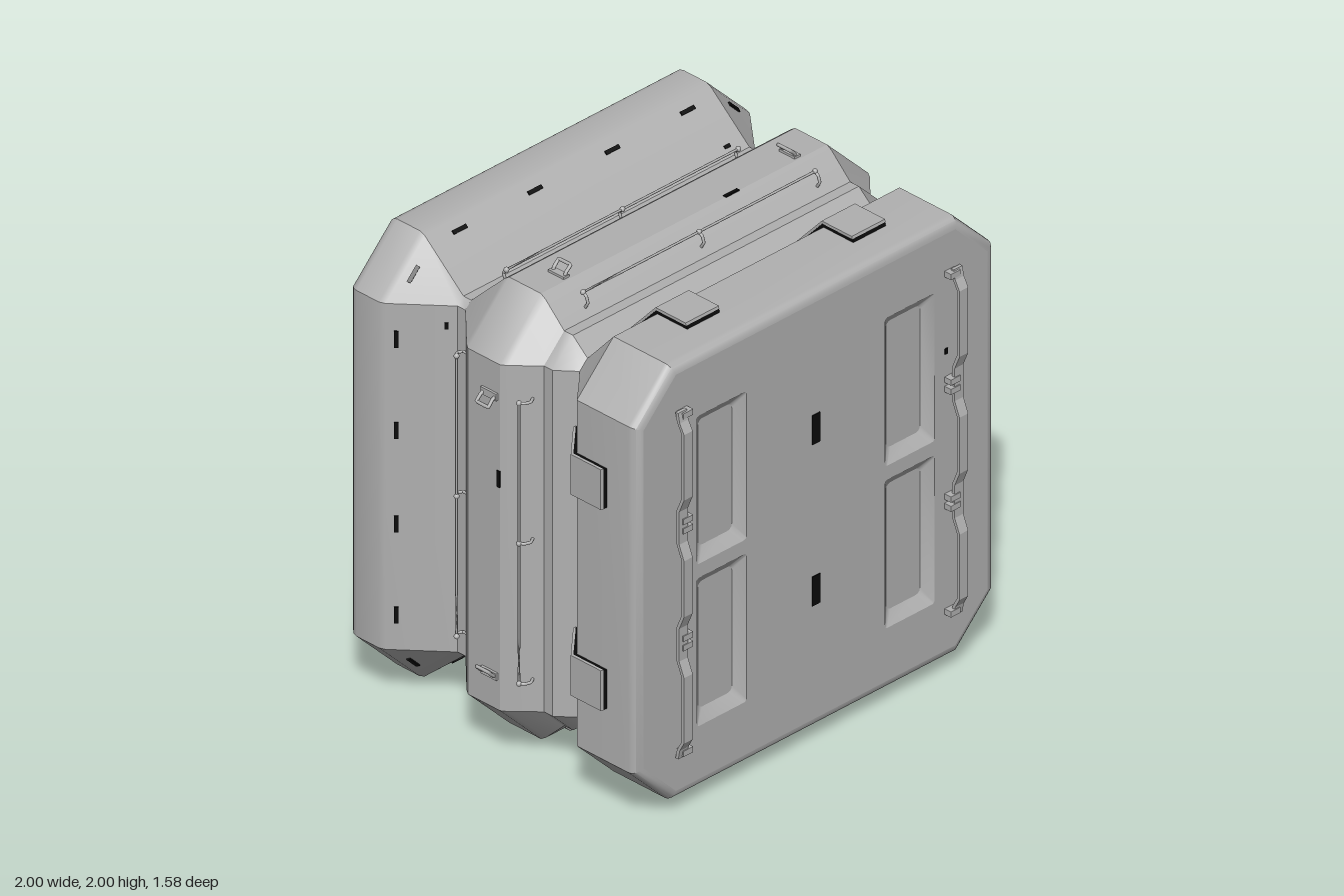
import * as THREE from 'three';
import { toCreasedNormals } from 'three/addons/utils/BufferGeometryUtils.js';

const shell = new THREE.MeshStandardMaterial({ color: 0xb0b0b0 });
shell.name = 'shellGrey';
const dark = new THREE.MeshStandardMaterial({ color: 0x0a0a0a });
dark.name = 'markBlack';

function add(parent, name, geometry, material = shell, x = 0, y = 0, z = 0) {
  const mesh = new THREE.Mesh(geometry, material);
  mesh.name = name;
  mesh.position.set(x, y, z);
  parent.add(mesh);
  return mesh;
}

function group(parent, name) {
  const g = new THREE.Group();
  g.name = name;
  parent.add(g);
  return g;
}

// Skin between rings of equal length; rings run counter-clockwise seen from +z
function loft(rings) {
  const n = rings[0].length, index = [];
  for (let i = 0; i < rings.length - 1; i++) {
    for (let j = 0; j < n; j++) {
      const a = i * n + j, b = i * n + (j + 1) % n;
      index.push(a, b, b + n, a, b + n, a + n);
    }
  }
  const g = new THREE.BufferGeometry();
  g.setAttribute('position', new THREE.Float32BufferAttribute(rings.flat(2), 3));
  g.setIndex(index);
  return toCreasedNormals(g, 0.55);
}

// Octagon of half size h whose straight edges have half length s
const octagon = (h, s) =>
  [[h, -s], [h, s], [s, h], [-s, h], [-h, s], [-h, -s], [-s, -h], [s, -h]];

function roundedRect(cx, cy, hw, hh, r) {
  const pts = [];
  [[1, 1], [-1, 1], [-1, -1], [1, -1]].forEach(([sx, sy], k) => {
    for (let i = 0; i <= 3; i++) {
      const a = (k + i / 3) * Math.PI / 2;
      pts.push([cx + sx * (hw - r) + r * Math.cos(a), cy + sy * (hh - r) + r * Math.sin(a)]);
    }
  });
  return pts;
}

const toShape = (pts) => new THREE.Shape(pts.map(([x, y]) => new THREE.Vector2(x, y)));

// Bent strip: path in (z, y), thickened by an offset, given a width along x
function strip(path, [dz, dy], width) {
  const back = path.map(([z, y]) => [z + dz, y + dy]).reverse();
  const g = new THREE.ExtrudeGeometry(toShape([...path, ...back]), { depth: width, bevelEnabled: false });
  return g.rotateY(-Math.PI / 2).translate(width / 2, 0, 0);
}

function rod(points, radius) {
  const curve = new THREE.CatmullRomCurve3(points.map((p) => new THREE.Vector3(...p)), false, 'catmullrom', 0.1);
  return new THREE.TubeGeometry(curve, (points.length - 1) * 6, radius, 8);
}

// Flat end face with four pockets, two rails and dark marks
function buildFace(parent, name) {
  const face = group(parent, name);
  const plate = toShape(octagon(0.89, 0.723));
  for (const sx of [-1, 1]) {
    for (const sy of [-1, 1]) {
      const outer = roundedRect(sx * 0.487, sy * 0.347, 0.128, 0.317, 0.012);
      const inner = roundedRect(sx * 0.487, sy * 0.347, 0.088, 0.27, 0.022);
      plate.holes.push(new THREE.Path(outer.map(([x, y]) => new THREE.Vector2(x, y))));
      add(face, 'pocketWall', loft([outer.map((p) => [...p, 0]), inner.map((p) => [...p, -0.035])]));
      add(face, 'pocketFloor', new THREE.ShapeGeometry(toShape(inner)), shell, 0, 0, -0.035);
    }
    // Wavy rail and its clips
    const half = [[0.01, 0.74], [0.018, 0.70], [0.04, 0.66], [0.04, 0.38], [0.015, 0.32], [0.015, 0.18], [0.04, 0.12]];
    const path = [...half, ...half.map(([z, y]) => [z, -y]).reverse()];
    add(face, 'wavyRail', strip(path, [0.014, 0], 0.045), shell, sx * 0.713);
    for (const y of [0.722, 0.27, 0.23, -0.23, -0.27, -0.722]) {
      add(face, 'railClip', new THREE.BoxGeometry(0.05, 0.024, 0.034), shell, sx * 0.692, y, 0.016);
    }
  }
  add(face, 'facePlate', new THREE.ShapeGeometry(plate));
  for (const y of [-0.34, 0.35]) {
    add(face, 'faceMark', new THREE.BoxGeometry(0.04, 0.125, 0.006), dark, 0, y, 0.001);
  }
  add(face, 'smallMark', new THREE.BoxGeometry(0.014, 0.024, 0.006), dark, -0.68, -0.4, 0.001);
  add(face, 'smallMark', new THREE.BoxGeometry(0.014, 0.024, 0.006), dark, 0.675, 0.39, 0.001);
  return face;
}

// Fittings repeated on each of the four sides, modelled on the top one
function buildSide(parent, name) {
  const side = group(parent, name);
  // Wrapped pads with a dark liner
  for (const x of [-0.43, 0.43]) {
    const path = [[0.58, 0.928], [0.425, 0.928], [0.295, 0.785]];
    const outer = path.map(([z, y]) => [z - 0.004, y + 0.016]);
    add(side, 'padLiner', strip(path, [-0.004, 0.016], 0.168), dark, x);
    add(side, 'pad', strip(outer, [-0.003, 0.011], 0.172), shell, x);
  }
  // Grab rods on both slopes of the middle section
  const rods = [
    { z: 0.128, y: 0.932, post: [[0.135, 0.865], [0.153, 0.895], [0.145, 0.92], [0.128, 0.932]] },
    { z: -0.268, y: 0.858, post: [[-0.25, 0.815], [-0.275, 0.818], [-0.283, 0.84], [-0.268, 0.858]] },
  ];
  for (const { z, y, post } of rods) {
    add(side, 'grabRod', rod([[-0.6, y, z], [0.6, y, z]], 0.005));
    for (const x of [-0.6, 0, 0.6]) {
      add(side, 'rodPost', rod(post.map(([pz, py]) => [x, py, pz]), 0.006));
      add(side, 'rodKnob', new THREE.SphereGeometry(0.011, 10, 8), shell, x, y, z);
    }
  }
  // Leaning loop handles
  for (const s of [-1, 1]) {
    const loop = [[0.603, 0.945, -0.03], [0.59, 0.972, -0.03], [0.567, 0.993, -0.03],
      [0.567, 0.993, 0.03], [0.59, 0.972, 0.03], [0.603, 0.945, 0.03]];
    add(side, 'loopHandle', rod(loop.map(([x, y, z]) => [s * x, y, z]), 0.007));
    add(side, 'loopFoot', new THREE.BoxGeometry(0.03, 0.012, 0.08), shell, s * 0.598, 0.957, 0);
  }
  // Dark marks on the rear slope, the ridge and the chamfered corner
  for (const x of [-0.59, -0.2, 0.2, 0.59]) {
    add(side, 'slopeMark', new THREE.BoxGeometry(0.07, 0.007, 0.016), dark, x, 0.919, -0.519).rotation.x = 0.72;
  }
  add(side, 'smallSlopeMark', new THREE.BoxGeometry(0.028, 0.007, 0.014), dark, 0.655, 0.797, -0.38).rotation.x = 0.72;
  add(side, 'ridgeMark', new THREE.BoxGeometry(0.07, 0.007, 0.014), dark, 0.25, 0.954, -0.0 + 0.045);
  const corner = group(side, 'cornerMarkPivot');
  corner.rotation.z = Math.PI / 4;
  add(corner, 'cornerMark', new THREE.BoxGeometry(0.07, 0.007, 0.016), dark, 0, 1.174, -0.519).rotation.x = 0.555;
  return side;
}

export function createModel() {
  const model = new THREE.Group();
  model.name = 'ribbedContainer';
  const body = group(model, 'body');
  body.position.y = 1;

  // Ribbed shell: [z, half size, straight half length] from back to front
  const profile = [];
  for (let i = 0; i <= 4; i++) {
    const a = i / 4 * Math.PI / 2;
    const h = 0.89 + 0.063 * Math.sin(a);
    profile.push([-0.69 - 0.05 * Math.cos(a), h, 0.74 - 0.27 * (0.953 - h)]);
  }
  for (const [z, h] of [[-0.575, 0.953], [-0.55, 0.943], [-0.35, 0.77], [-0.31, 0.77], [-0.14, 0.935],
    [-0.115, 0.953], [0.05, 0.953], [0.075, 0.937], [0.17, 0.845], [0.215, 0.845], [0.29, 0.78],
    [0.3, 0.79], [0.425, 0.93]]) profile.push([z, h, 0.74]);
  for (let i = 0; i <= 4; i++) {
    const a = i / 4 * Math.PI / 2;
    const h = 0.89 + 0.04 * Math.cos(a);
    profile.push([0.69 + 0.04 * Math.sin(a), h, 0.74 - 0.425 * (0.93 - h)]);
  }
  add(body, 'ribbedShell', loft(profile.map(([z, h, s]) => octagon(h, s).map((p) => [...p, z]))));

  buildFace(body, 'frontFace').position.z = 0.73;
  const back = buildFace(body, 'backFace');
  back.position.z = -0.74;
  back.rotation.y = Math.PI;

  ['topSide', 'leftSide', 'bottomSide', 'rightSide'].forEach((name, k) => {
    buildSide(body, name).rotation.z = -k * Math.PI / 2;
  });
  return model;
}
